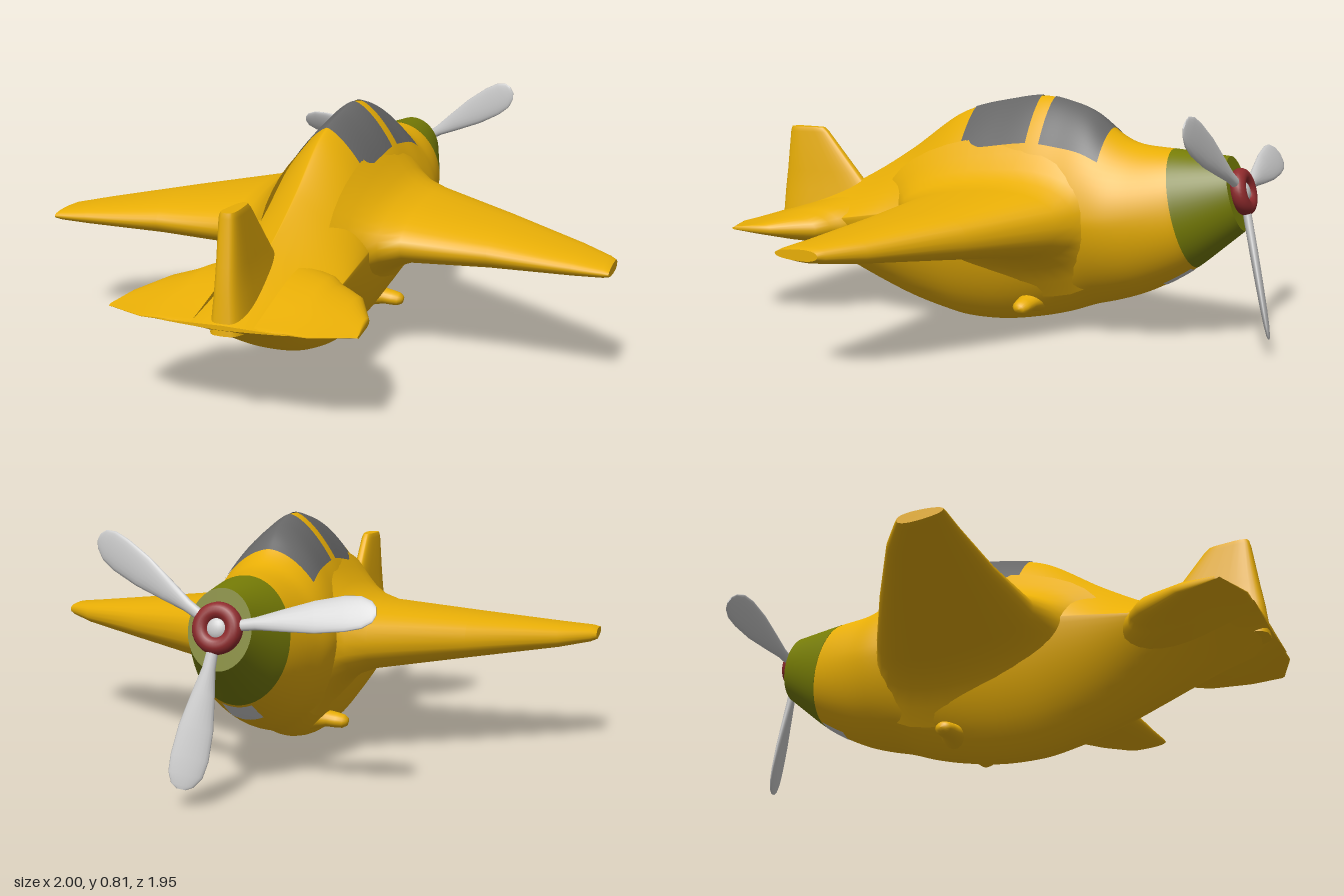
import * as THREE from 'three';

const mat = (color) => new THREE.MeshStandardMaterial({ color });
const yellow = mat(0xe8ae06), green = mat(0x767c06), red = mat(0x8e2a2c);
const glass = mat(0x666666), grey = mat(0xcccccc);
glass.side = grey.side = THREE.DoubleSide;

// Fuselage stations: z, top y, bottom y, half width, y of widest point, upper and lower section exponents
const STATIONS = [
  [-0.835, 0.64, 0.40, 0.10, 0.52, 2, 2],
  [-0.645, 0.655, 0.265, 0.16, 0.46, 2, 2],
  [-0.5, 0.668, 0.165, 0.20, 0.43, 1.85, 1.85],
  [-0.42, 0.70, 0.125, 0.22, 0.42, 1.75, 1.75],
  [-0.33, 0.765, 0.095, 0.225, 0.42, 1.6, 1.65],
  [-0.25, 0.795, 0.065, 0.225, 0.42, 1.52, 1.65],
  [-0.14, 0.815, 0.035, 0.225, 0.42, 1.48, 1.65],
  [0, 0.795, 0.01, 0.225, 0.42, 1.42, 1.65],
  [0.13, 0.765, 0.005, 0.225, 0.42, 1.36, 1.65],
  [0.22, 0.725, 0.015, 0.225, 0.415, 1.3, 1.65],
  [0.4, 0.60, 0.06, 0.225, 0.39, 1.15, 1.6],
  [0.6, 0.485, 0.135, 0.225, 0.36, 0.97, 1.45],
  [0.8, 0.40, 0.225, 0.22, 0.34, 0.88, 1.3],
  [0.97, 0.335, 0.32, 0.21, 0.33, 0.88, 1.2],
];

// Smooth (Hermite) interpolation of the station table
function station(z) {
  const S = STATIONS, last = S.length - 1;
  let i = 0;
  while (i < last - 1 && z > S[i + 1][0]) i++;
  const h = S[i + 1][0] - S[i][0], t = (z - S[i][0]) / h;
  const slope = (n, k) => {
    const a = S[Math.max(n - 1, 0)], b = S[Math.min(n + 1, last)];
    return (b[k] - a[k]) / (b[0] - a[0]);
  };
  const t2 = t * t, t3 = t2 * t;
  return [1, 2, 3, 4, 5, 6].map((k) =>
    (2 * t3 - 3 * t2 + 1) * S[i][k] + (t3 - 2 * t2 + t) * h * slope(i, k) +
    (3 * t2 - 2 * t3) * S[i + 1][k] + (t3 - t2) * h * slope(i + 1, k));
}

// Point on the fuselage skin; nose sections lean back at the top
function skin(z, angle, lift = 0) {
  const [top, bottom, w, mid, upper, lower] = station(z);
  const c = Math.cos(angle), s = Math.sin(angle);
  const pow = (v) => Math.sign(v) * Math.abs(v) ** (2 / (s > 0 ? upper : lower));
  const x = pow(c) * (w + lift);
  const y = mid + pow(s) * ((s > 0 ? top - mid : mid - bottom) + lift);
  const lean = 0.25 * THREE.MathUtils.smoothstep(-z, 0.35, 0.68);
  return new THREE.Vector3(x, y, z + lean * (y - 0.52));
}

// Joins rings of points into a surface; closed rings get end caps and face outwards
function loft(rings, closed = true) {
  const n = rings[0].length, pts = rings.flat(), index = [];
  for (let i = 0; i < rings.length - 1; i++) {
    for (let j = 0; j < (closed ? n : n - 1); j++) {
      const k = (j + 1) % n, a = i * n + j, b = i * n + k;
      index.push(a, b, a + n, b, b + n, a + n);
    }
  }
  if (closed) {
    [rings[0], rings[rings.length - 1]].forEach((ring, end) => {
      const base = pts.length;
      const centre = ring.reduce((s, p) => s.add(p), new THREE.Vector3()).divideScalar(n);
      pts.push(...ring, centre);
      for (let j = 0; j < n; j++) {
        const a = base + j, b = base + (j + 1) % n;
        index.push(...(end ? [a, b, base + n] : [b, a, base + n]));
      }
    });
    let volume = 0;
    const v = new THREE.Vector3();
    for (let i = 0; i < index.length; i += 3) {
      volume += v.crossVectors(pts[index[i + 1]], pts[index[i + 2]]).dot(pts[index[i]]);
    }
    if (volume < 0) index.reverse();
  }
  const g = new THREE.BufferGeometry().setFromPoints(pts);
  g.setIndex(index);
  g.computeVertexNormals();
  return g;
}

// Range of the fuselage skin between two z values and two angles
function skinPart(z0, z1, a0, a1, steps, cols, lift, closed) {
  const rings = [];
  for (let i = 0; i <= steps; i++) {
    const z = z0 + (z1 - z0) * i / steps;
    rings.push(Array.from({ length: closed ? cols : cols + 1 },
      (_, j) => skin(z, a0 + (a1 - a0) * j / cols, lift)));
  }
  return loft(rings, closed);
}

// Aerofoil loft; sections: span, leading edge, trailing edge, centre, half thickness.
// bias moves the thickness forward, blunt below 1 squares the section
function foil(sections, bias, blunt, place, n = 32) {
  const pow = (v) => Math.sign(v) * Math.abs(v) ** blunt;
  return loft(sections.map(([span, lead, trail, mid, h]) =>
    Array.from({ length: n }, (_, j) => {
      const a = j / n * Math.PI * 2, c = pow(Math.cos(a));
      const chord = (lead + trail) / 2 + (lead - trail) / 2 * c;
      return place(span, chord, mid + h * pow(Math.sin(a)) * (1 + bias * c));
    })));
}

export function createModel() {
  const model = new THREE.Group();
  const add = (name, geometry, material, parent = model) => {
    const mesh = new THREE.Mesh(geometry, material);
    mesh.name = name;
    parent.add(mesh);
    return mesh;
  };
  const TAU = Math.PI * 2, V = (x, y, z) => new THREE.Vector3(x, y, z);

  // Body, cowling, canopy panes and belly intake
  add('fuselage', skinPart(-0.645, 0.97, 0, TAU, 90, 64, 0, true), yellow);
  add('cowling', skinPart(-0.835, -0.645, 0, TAU, 12, 64, 0.001, true), green);
  add('frontCanopy', skinPart(-0.40, -0.18, 0.77, Math.PI - 0.77, 20, 30, 0.003, false), glass);
  add('rearCanopy', skinPart(-0.13, 0.13, 0.77, Math.PI - 0.77, 20, 30, 0.003, false), glass);
  add('bellyIntake', skinPart(-0.635, -0.55, Math.PI * 1.5 - 0.3, Math.PI * 1.5 + 0.3, 8, 12, 0.002, false), grey);

  // Wings, tailplanes and belly stubs, mirrored
  const wing = [
    [0.12, -0.47, 0.44, 0.41, 0.27], [0.16, -0.43, 0.39, 0.41, 0.215],
    [0.2, -0.39, 0.345, 0.41, 0.165], [0.245, -0.36, 0.31, 0.41, 0.13],
    [0.31, -0.325, 0.265, 0.41, 0.107], [0.6, -0.15, 0.258, 0.406, 0.072],
    [0.88, 0.03, 0.275, 0.4, 0.039], [0.98, 0.112, 0.283, 0.4, 0.025], [1, 0.13, 0.283, 0.4, 0.017],
  ];
  const tail = [
    [0.1, 0.47, 0.967, 0.33, 0.075], [0.2, 0.52, 0.967, 0.33, 0.06],
    [0.235, 0.56, 0.967, 0.33, 0.05], [0.27, 0.58, 0.967, 0.33, 0.042],
    [0.315, 0.615, 0.95, 0.33, 0.033], [0.385, 0.76, 0.922, 0.33, 0.014],
    [0.405, 0.9, 0.915, 0.33, 0.004],
  ];
  const stubProfile = [[0.05, 0], [0.038, 0.03], [0.028, 0.06], [0.026, 0.09], [0.023, 0.113], [0.014, 0.127], [0, 0.13]]
    .map(([r, h]) => new THREE.Vector2(r, h));
  for (const [side, s] of [['left', 1], ['right', -1]]) {
    const place = (span, z, y) => V(s * span, y, z);
    add(side + 'Wing', foil(wing, 0.2, 0.85, place), yellow);
    add(side + 'Tailplane', foil(tail, 0.8, 1, place), yellow);
    const stub = add(side + 'BellyStub', new THREE.LatheGeometry(stubProfile, 20), yellow);
    stub.position.set(s * 0.065, 0.112, -0.13);
    stub.rotation.z = -s * (Math.PI / 2 + 0.12);
    stub.scale.z = 1.3;
  }

  // Upright fin with a blunt trailing edge
  const fin = [
    [0.3, 0.46, 0.967, 0, 0.055], [0.42, 0.565, 0.957, 0, 0.04],
    [0.5, 0.637, 0.946, 0, 0.034], [0.645, 0.765, 0.928, 0, 0.026], [0.662, 0.785, 0.924, 0, 0.021],
  ];
  add('fin', foil(fin, -0.3, 0.6, (y, z, x) => V(x, y, z)), yellow);

  // Propeller, leaning back with the nose
  const propeller = new THREE.Group();
  propeller.name = 'propeller';
  propeller.position.set(0, 0.527, -0.852);
  propeller.rotation.x = 0.25;
  model.add(propeller);
  add('hubRing', new THREE.TorusGeometry(0.052, 0.027, 16, 36), red, propeller);
  const cap = add('hubCap', new THREE.SphereGeometry(0.036, 24, 12), grey, propeller);
  cap.scale.z = 0.6;
  const blade = [
    [0.03, -0.015, 0.015, 0, 0.014], [0.12, -0.02, 0.02, 0, 0.014],
    [0.2, -0.035, 0.035, 0, 0.014], [0.3, -0.052, 0.052, 0, 0.013],
    [0.39, -0.057, 0.057, 0, 0.011], [0.44, -0.05, 0.053, 0, 0.009],
    [0.472, -0.03, 0.038, 0, 0.006], [0.484, -0.01, 0.018, 0, 0.003],
  ];
  const c = Math.cos(0.3), s = Math.sin(0.3);
  const bladeShape = foil(blade, 0.1, 1, (r, u, t) => V(r, u * c + t * s, t * c - u * s), 20);
  [32, 171, 278].forEach((deg, i) => {
    add('blade' + (i + 1), bladeShape, grey, propeller).rotation.z = THREE.MathUtils.degToRad(deg);
  });

  return model;
}
